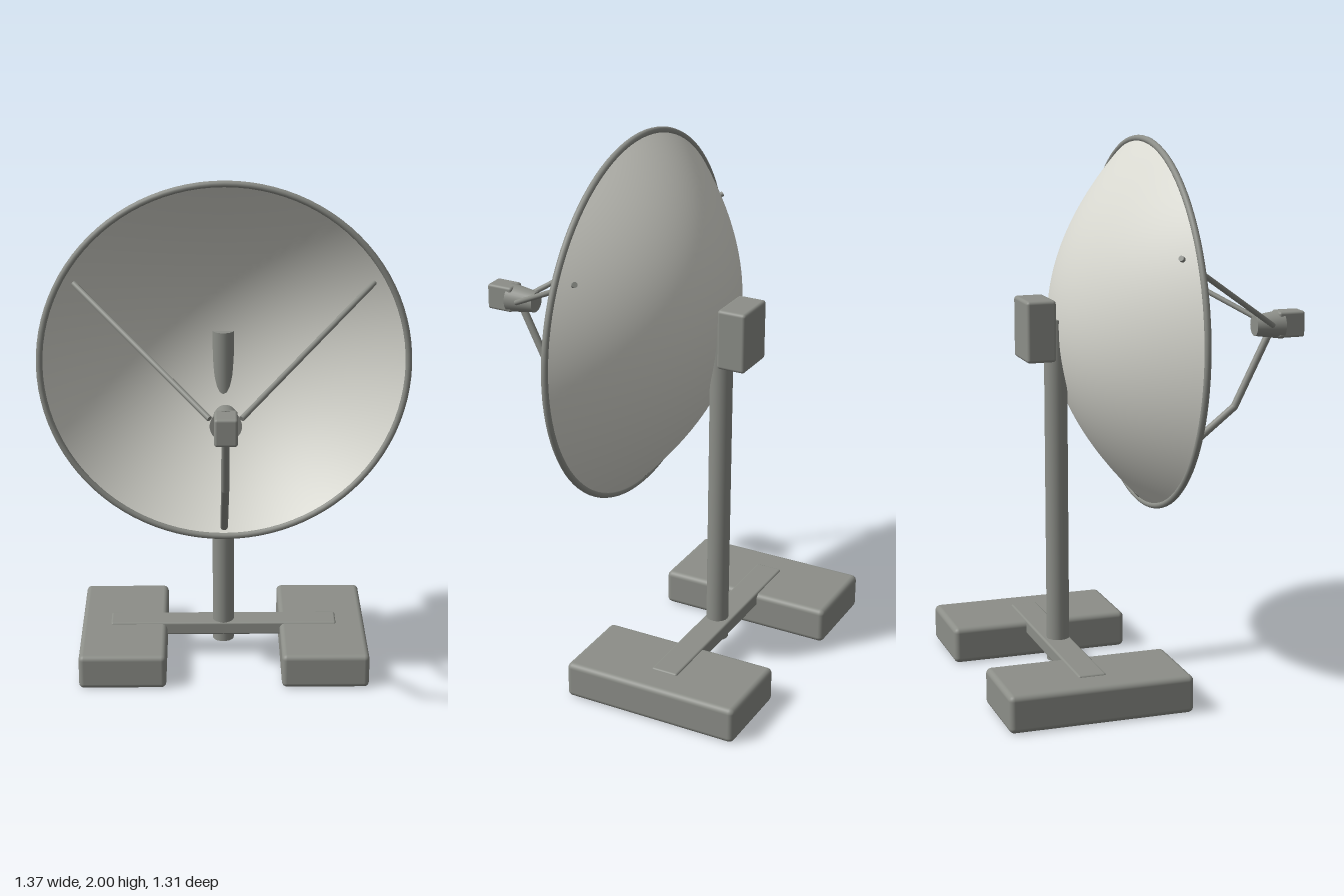
import * as THREE from 'three';
import { RoundedBoxGeometry } from 'three/addons/geometries/RoundedBoxGeometry.js';

export function createModel() {
  const model = new THREE.Group();
  const dishPaint = new THREE.MeshStandardMaterial({ color: 0xd8d8d0 });
  const metal = new THREE.MeshStandardMaterial({ color: 0x8c8e88 });

  const add = (name, geometry, material, x = 0, y = 0, z = 0) => {
    const mesh = new THREE.Mesh(geometry, material);
    mesh.name = name;
    mesh.position.set(x, y, z);
    model.add(mesh);
    return mesh;
  };
  // Rounded box given by its min and max corners
  const box = (name, a, b, r) =>
    add(name, new RoundedBoxGeometry(b[0] - a[0], b[1] - a[1], b[2] - a[2], 3, r), metal,
      (a[0] + b[0]) / 2, (a[1] + b[1]) / 2, (a[2] + b[2]) / 2);
  // Round rod between two points
  const rod = (name, a, b, r) => {
    const from = new THREE.Vector3(...a), to = new THREE.Vector3(...b);
    const dir = to.clone().sub(from);
    const mid = from.add(to).multiplyScalar(0.5);
    const mesh = add(name, new THREE.CylinderGeometry(r, r, dir.length(), 20), metal, mid.x, mid.y, mid.z);
    mesh.quaternion.setFromUnitVectors(new THREE.Vector3(0, 1, 0), dir.normalize());
  };

  // Parabolic reflector: outer skin from the middle to the rim, then the inner skin back
  const dishY = 1.315, radius = 0.672, steps = 28, profile = [];
  const depth = (r) => -0.315 + 0.335 * (r / radius) ** 2;
  for (let i = 0; i <= steps; i++) {
    const r = radius * i / steps;
    profile.push(new THREE.Vector2(r, depth(r)));
  }
  const inner = profile.map((p) => new THREE.Vector2(p.x, p.y + 0.01)).reverse();
  for (const [name, points] of [['dishBack', profile], ['dishFront', inner]]) {
    add(name, new THREE.LatheGeometry(points, 96), dishPaint, 0, dishY, 0).rotation.x = Math.PI / 2;
  }
  add('dishRim', new THREE.TorusGeometry(0.673, 0.012, 12, 96), metal, 0, dishY, 0.02);

  // Mast and the mount box behind the dish
  rod('mast', [0, 0.06, -0.314], [0, 1.347, -0.314], 0.042);
  box('mountBox', [-0.089, 1.203, -0.445], [0.089, 1.427, -0.335], 0.012);

  // Base: crossbar and two ballast feet
  box('crossbar', [-0.448, 0.09, -0.373], [0.448, 0.143, -0.27], 0.008);
  for (const [side, x] of [['left', 0.393], ['right', -0.393]]) {
    box(side + 'Foot', [x - 0.169, 0, -0.655], [x + 0.169, 0.137, 0.022], 0.02);
  }

  // Feed horn and receiver
  const horn = add('feedHorn', new THREE.CylinderGeometry(0.055, 0.039, 0.11, 32), metal, 0, 1.28, 0.519);
  horn.rotation.x = Math.PI / 2;
  box('receiver', [-0.04, 1.233, 0.55], [0.04, 1.332, 0.655], 0.01);

  // Two straight upper struts and the bent lower arm
  for (const [side, s] of [['left', 1], ['right', -1]]) {
    rod(side + 'Strut', [s * 0.055, 1.287, 0.517], [s * 0.556, 1.624, -0.035], 0.01);
  }
  const elbow = [0, 0.975, 0.387];
  rod('upperArm', [0, 1.25, 0.525], elbow, 0.0145);
  rod('lowerArm', elbow, [0, 0.667, -0.005], 0.0145);
  add('armElbow', new THREE.SphereGeometry(0.0145, 20, 14), metal, ...elbow);

  return model;
}
